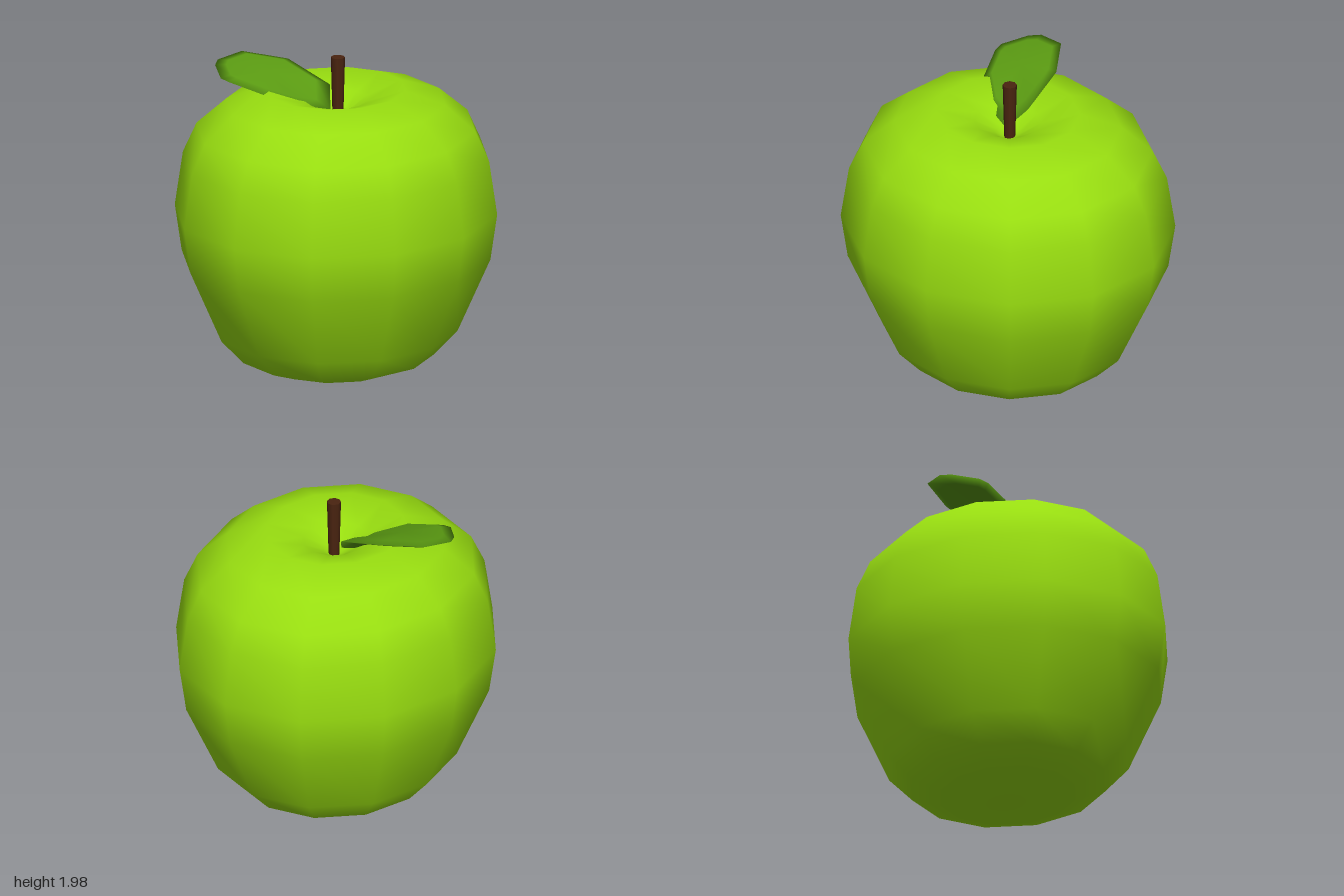
import * as THREE from 'three';
import { mergeVertices } from 'three/addons/utils/BufferGeometryUtils.js';

// Weld shared corners so that the shading runs smoothly over the whole surface
function smooth(geometry) {
  geometry.deleteAttribute('uv');
  geometry.deleteAttribute('normal');
  const welded = mergeVertices(geometry, 1e-4);
  welded.computeVertexNormals();
  return welded;
}

// Twelve-sided fruit, slightly oval and leaning, with a hollow on top
function appleBody() {
  const profile = [
    [0, 0.005], [0.2, 0.018], [0.41, 0.05], [0.61, 0.125], [0.755, 0.28],
    [0.958, 0.735], [1, 1.02], [0.95, 1.355], [0.865, 1.54], [0.68, 1.7],
    [0.43, 1.785], [0.2, 1.715], [0.08, 1.64], [0, 1.6],
  ].map(([r, y]) => new THREE.Vector2(r, y));
  const geometry = new THREE.LatheGeometry(profile, 12, Math.PI / 12);
  const p = geometry.attributes.position;
  for (let i = 0; i < p.count; i++) {
    const x = p.getX(i) * 0.96;
    const z = p.getZ(i) * 1.02 + x * 0.035;
    p.setXYZ(i, x, p.getY(i) + 0.01 * z, z);
  }
  return smooth(geometry);
}

// Thick leaf: an outline with a raised upper ring and a lowered under ring
function leafBlade() {
  const outline = [
    [-0.015, 1.65, 0.03], [-0.12, 1.77, -0.05], [-0.43, 1.87, 0.02],
    [-0.65, 1.9, 0.2], [-0.66, 1.88, 0.38], [-0.61, 1.87, 0.44],
    [-0.46, 1.84, 0.52], [-0.4, 1.83, 0.51], [-0.19, 1.775, 0.4], [-0.05, 1.7, 0.21],
  ].map((v) => new THREE.Vector3(...v));
  const n = outline.length;
  const middle = new THREE.Vector3(-0.36, 1.83, 0.25);
  const ring = (inset, lift) => outline.map((v) => {
    const q = v.clone().lerp(middle, inset);
    q.y += lift;
    return q;
  });
  const points = [
    ...outline, ...ring(0.22, 0.018), ...ring(0.22, -0.022),
    middle.clone().setY(1.85), middle.clone().setY(1.805),
  ];
  const index = [];
  for (let i = 0; i < n; i++) {
    const j = (i + 1) % n;
    index.push(i, j, n + j, i, n + j, n + i, n + i, n + j, 3 * n);
    index.push(i, 2 * n + j, j, i, 2 * n + i, 2 * n + j, 2 * n + i, 3 * n + 1, 2 * n + j);
  }
  const geometry = new THREE.BufferGeometry().setFromPoints(points);
  geometry.setIndex(index);
  geometry.computeVertexNormals();
  return geometry;
}

export function createModel() {
  const material = (name, color) => {
    const m = new THREE.MeshStandardMaterial({ color });
    m.name = name;
    return m;
  };
  const model = new THREE.Group();
  model.name = 'apple';
  const add = (name, geometry, mat) => {
    const mesh = new THREE.Mesh(geometry, mat);
    mesh.name = name;
    model.add(mesh);
    return mesh;
  };

  add('fruit', appleBody(), material('apple green', 0x98dd10));
  add('leaf', leafBlade(), material('leaf green', 0x5a9a12));

  // Stem widens a little towards its cut top
  const stem = add('stem', new THREE.CylinderGeometry(0.043, 0.032, 0.4, 8), material('bark brown', 0x4a2410));
  stem.position.set(0, 1.78, -0.015);

  return model;
}
